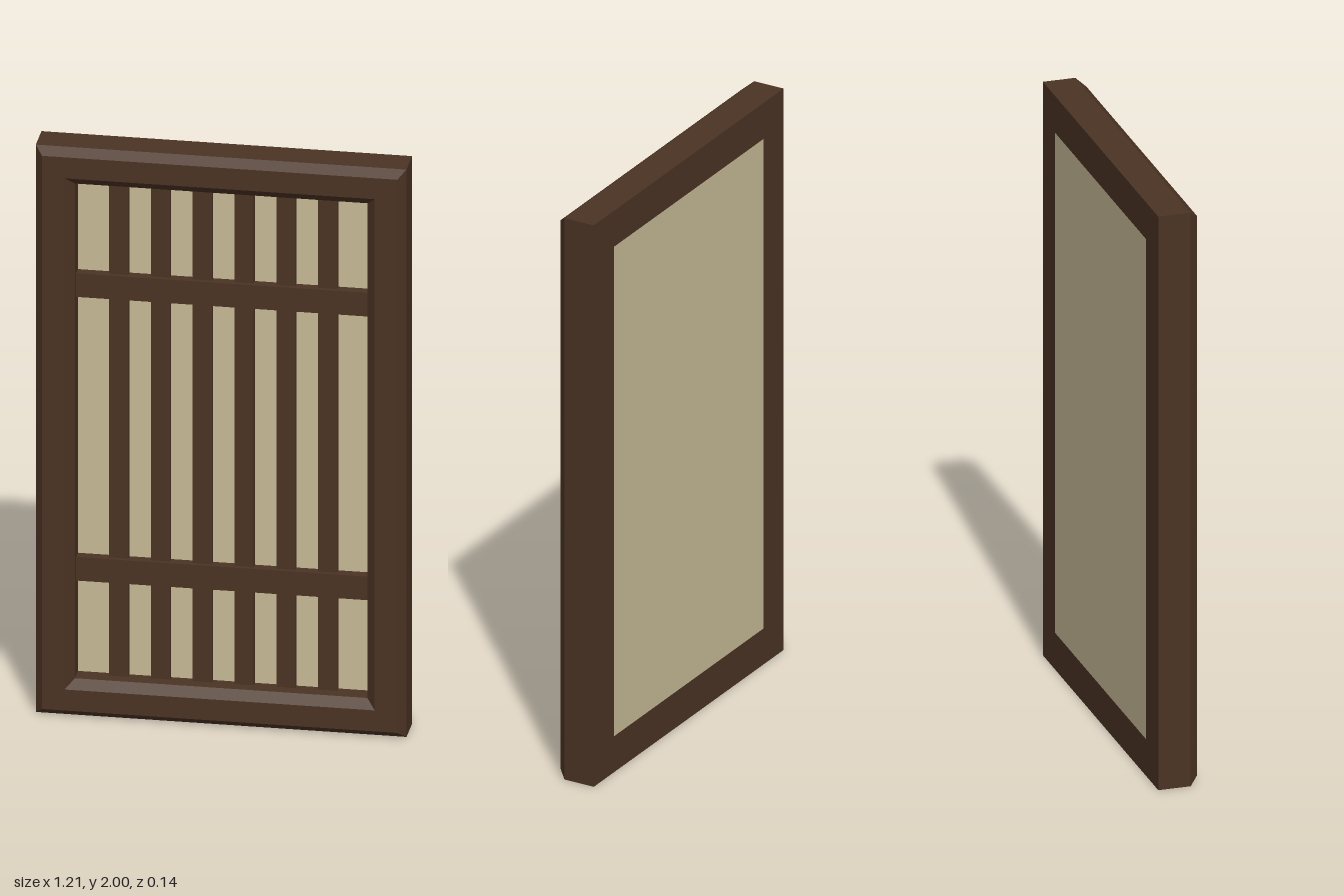
import * as THREE from 'three';

const HALF_W = 0.607, HEIGHT = 2, HALF_D = 0.07, BORDER = 0.128;
const OPEN_W = 2 * (HALF_W - BORDER), OPEN_H = HEIGHT - 2 * BORDER;

// Mitred frame: sweep a [inset, z] profile around the rectangle's four corners
function frameGeometry(profile) {
  const corners = [[-1, -1], [1, -1], [1, 1], [-1, 1]];
  const point = ([sx, sy], [inset, z]) =>
    [sx * (HALF_W - inset), HEIGHT / 2 + sy * (HEIGHT / 2 - inset), z];
  const pos = [];
  corners.forEach((c, i) => {
    const d = corners[(i + 1) % 4];
    profile.forEach((p, j) => {
      const q = profile[(j + 1) % profile.length];
      const a = point(c, p), b = point(d, p), e = point(d, q), f = point(c, q);
      pos.push(...a, ...b, ...e, ...a, ...e, ...f);
    });
  });
  const geo = new THREE.BufferGeometry();
  geo.setAttribute('position', new THREE.Float32BufferAttribute(pos, 3));
  geo.computeVertexNormals();
  return geo;
}

export function createModel() {
  const wood = new THREE.MeshStandardMaterial({ color: 0x4a3323 });
  wood.name = 'dark wood';
  const paper = new THREE.MeshStandardMaterial({ color: 0xc8bb96 });
  paper.name = 'cream paper';

  const group = new THREE.Group();
  group.name = 'latticeWindow';
  const add = (name, geo, mat, x = 0, y = 0, z = 0) => {
    const mesh = new THREE.Mesh(geo, mat);
    mesh.name = name;
    mesh.position.set(x, y, z);
    group.add(mesh);
  };
  // Box placed between a back and a front depth
  const slab = (name, mat, w, h, x, y, z0, z1) =>
    add(name, new THREE.BoxGeometry(w, h, z1 - z0), mat, x, y, (z0 + z1) / 2);

  // Frame with chamfered outer and inner front edges
  add('frame', frameGeometry([
    [0, -HALF_D], [0, 0.04], [0.025, HALF_D],
    [0.099, HALF_D], [BORDER, 0.04], [BORDER, -HALF_D],
  ]), wood);

  // Panel filling the opening, flush with the back
  slab('panel', paper, OPEN_W, OPEN_H, 0, HEIGHT / 2, -HALF_D, -0.02);

  // Six upright slats, evenly dividing the opening into seven
  for (let i = 1; i <= 6; i++) {
    slab(`slat${i}`, wood, 0.063, OPEN_H, -OPEN_W / 2 + (i * OPEN_W) / 7, HEIGHT / 2, -0.02, 0);
  }

  // Two cross rails in front of the slats
  slab('lowerRail', wood, OPEN_W, 0.083, 0, 0.503, -0.02, 0.015);
  slab('upperRail', wood, OPEN_W, 0.083, 0, 1.503, -0.02, 0.015);

  return group;
}
